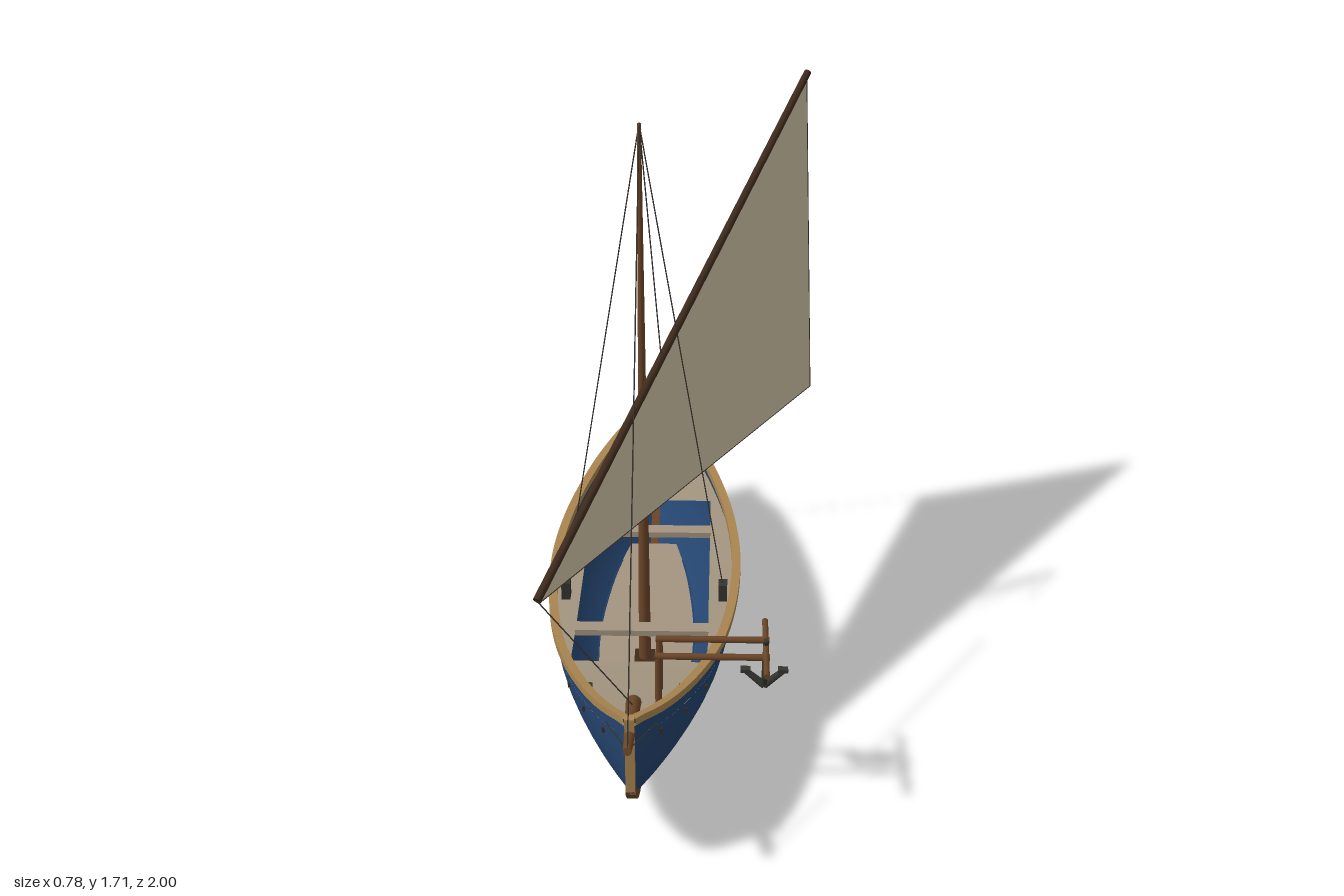
import * as THREE from 'three';
import { toCreasedNormals } from 'three/addons/utils/BufferGeometryUtils.js';

const paint = (name, color) => new THREE.MeshStandardMaterial({ name, color, side: THREE.DoubleSide });
const CX = -0.115; // centreline of the boat

// Hull lines along z: half width, sheer height, keel height
const Z = [-0.84, -0.75, -0.6, -0.4, -0.2, 0.03, 0.3, 0.5, 0.7, 0.82, 0.9];
const line = (values) => {
  const f = new THREE.CubicInterpolant(Z, values, 1);
  return (z) => f.evaluate(z)[0];
};
const beam = line([0.004, 0.08, 0.15, 0.212, 0.25, 0.265, 0.243, 0.2, 0.125, 0.062, 0.004]);
const sheer = line([0.42, 0.405, 0.388, 0.37, 0.362, 0.36, 0.366, 0.385, 0.42, 0.45, 0.475]);
const keelY = line([0.2, 0.125, 0.06, 0.03, 0.018, 0.012, 0.02, 0.04, 0.1, 0.175, 0.255]);
const fullness = (u) => Math.pow(1 - Math.pow(1 - u, 2.4), 0.8);
const halfWidth = (z, y) => {
  const u = THREE.MathUtils.clamp((y - keelY(z)) / (sheer(z) - keelY(z)), 0, 1);
  return beam(z) * fullness(u);
};
const steps = (a, b, n) => Array.from({ length: n + 1 }, (_, i) => a + ((b - a) * i) / n);

// Skin over rings of [x, y, z] points
function loft(rings, closed = false, crease = 0.6) {
  const m = rings[0].length, index = [];
  for (let i = 0; i < rings.length - 1; i++) {
    for (let j = 0; j < (closed ? m : m - 1); j++) {
      const a = i * m + j, b = i * m + ((j + 1) % m);
      index.push(a, b, a + m, b, b + m, a + m);
    }
  }
  const g = new THREE.BufferGeometry();
  g.setAttribute('position', new THREE.Float32BufferAttribute(rings.flat(2), 3));
  g.setIndex(index);
  return toCreasedNormals(g, crease);
}

export function createModel() {
  const blue = paint('hull blue', 0x24446e);
  const tan = paint('trim tan', 0xa98550);
  const deckMat = paint('deck beige', 0xa39580);
  const sailMat = paint('sail canvas', 0xcfc3a6);
  const wood = paint('brown wood', 0x6a4527);
  const darkWood = paint('dark spar', 0x3d2a1c);
  const ropeMat = paint('rope', 0x37332d);
  const iron = paint('iron', 0x33352f);

  const root = new THREE.Group();
  root.name = 'sailingBoat';
  const add = (name, geometry, material) => {
    const mesh = new THREE.Mesh(geometry, material);
    mesh.name = name;
    root.add(mesh);
    return mesh;
  };
  const box = (name, w, h, d, x, y, z, mat) => {
    const mesh = add(name, new THREE.BoxGeometry(w, h, d), mat);
    mesh.position.set(x, y, z);
    return mesh;
  };
  // Round bar from a to b
  const rod = (name, a, b, r0, r1, mat, sides = 10) => {
    const p = new THREE.Vector3(...a), q = new THREE.Vector3(...b);
    const mesh = add(name, new THREE.CylinderGeometry(r1, r0, p.distanceTo(q), sides), mat);
    mesh.position.copy(p).lerp(q, 0.5);
    mesh.quaternion.setFromUnitVectors(new THREE.Vector3(0, 1, 0), q.sub(p).normalize());
    return mesh;
  };
  const rope = (name, a, b) => rod(name, a, b, 0.0018, 0.0018, ropeMat, 5);

  // Hull shell
  const us = steps(0, 1, 14).map((t) => t * t);
  add('hull', loft(steps(-0.84, 0.9, 64).map((z) => {
    const k = keelY(z), s = sheer(z), w = beam(z);
    const side = (d) => us.map((u) => [CX + d * w * fullness(u), k + (s - k) * u, z]);
    return [...side(-1).reverse(), ...side(1).slice(1)];
  }), false, 1.2), blue);

  // Gunwales and bilge rails
  for (const d of [-1, 1]) {
    add('gunwale', loft(steps(-0.845, 0.905, 56).map((zz) => {
      const z = THREE.MathUtils.clamp(zz, -0.84, 0.9), s = sheer(z);
      const inner = CX + d * Math.max(0, beam(z) - 0.014), outer = CX + d * (beam(z) + 0.011);
      return [[inner, s - 0.014, zz], [outer, s - 0.014, zz], [outer, s + 0.007, zz], [inner, s + 0.007, zz]];
    }), true), tan);
    const railPath = steps(-0.4, 0.48, 16).map((z) =>
      new THREE.Vector3(CX + d * halfWidth(z, 0.09), 0.09, z));
    add('bilgeRail', new THREE.TubeGeometry(new THREE.CatmullRomCurve3(railPath), 32, 0.003, 5), blue);
    for (const z of [-0.22, 0.04, 0.3]) {
      box('bilgeStud', 0.016, 0.012, 0.022, CX + d * halfWidth(z, 0.075), 0.072, z, wood);
    }
    for (const z of [-0.72, -0.55, 0.55, 0.68, 0.8]) {
      const y = sheer(z) - 0.08;
      box('hullFitting', 0.01, 0.014, 0.008, CX + d * halfWidth(z, y), y, z, darkWood);
    }
  }

  // Keel and end posts
  add('keel', loft(steps(-0.84, 0.9, 56).map((z) => {
    const k = keelY(z), t = 0.013;
    const slope = (keelY(Math.min(z + 0.01, 0.9)) - keelY(Math.max(z - 0.01, -0.84))) / 0.02;
    const len = Math.hypot(1, slope), dy = -0.012 / len, dz = (0.012 * slope) / len;
    return [[CX - t, k - dy, z - dz], [CX - t, k + dy, z + dz], [CX + t, k + dy, z + dz], [CX + t, k - dy, z - dz]];
  }), true), wood);
  box('stemPost', 0.024, 0.225, 0.022, CX, 0.372, 0.903, tan);
  box('sternPost', 0.024, 0.225, 0.022, CX, 0.313, -0.843, tan);

  // Deck around an open well, with a floor below
  const deckY = (z) => sheer(z) - 0.055;
  const deckEdge = (z) => halfWidth(z, deckY(z));
  const strip = (name, z0, z1, left, right, y) => add(name, loft(steps(z0, z1, 18).map((z) =>
    [[CX + left(z), y(z), z], [CX + right(z), y(z), z]])), deckMat);
  strip('foreDeck', 0.46, 0.895, (z) => -deckEdge(z), deckEdge, deckY);
  strip('aftDeck', -0.835, -0.4, (z) => -deckEdge(z), deckEdge, deckY);
  strip('sideDeck', -0.4, 0.46, (z) => -deckEdge(z), () => -0.185, deckY);
  strip('sideDeck', -0.4, 0.46, () => 0.185, deckEdge, deckY);
  strip('floor', -0.5, 0.55, (z) => -halfWidth(z, 0.09), (z) => halfWidth(z, 0.09), () => 0.09);
  for (const z of [-0.23, 0.285]) box('thwart', 0.375, 0.018, 0.042, CX, 0.307, z, deckMat);

  // Spars
  const mastTop = [CX, 1.71, 0.083];
  rod('mast', [CX, 0.09, 0.145], mastTop, 0.018, 0.005, wood, 12);
  box('mastStep', 0.06, 0.025, 0.07, CX, 0.1, 0.145, darkWood);
  rod('bowsprit', [CX, 0.39, 0.72], [CX, 0.457, 0.998], 0.02, 0.011, wood, 12);
  const yardLow = [-0.342, 0.735, 0.777], yardHigh = [0.342, 1.615, -0.68];
  rod('yard', yardLow, yardHigh, 0.011, 0.011, darkWood);

  // Sail and its edge ropes
  const tack = [-0.338, 0.723, 0.77], peak = [0.34, 1.592, -0.678], clew = [0.39, 0.53, -0.782];
  const sail = new THREE.BufferGeometry();
  sail.setAttribute('position', new THREE.Float32BufferAttribute([...tack, ...clew, ...peak], 3));
  sail.computeVertexNormals();
  add('sail', sail, sailMat);
  rope('footRope', tack, clew);
  rope('leechRope', clew, peak);

  // Rigging
  const tip = [CX, 0.458, 0.995];
  rope('forestay', mastTop, tip);
  rope('halyard', mastTop, [-0.06, 1.1, 0.175]);
  rope('tackRope', yardLow, [CX, 0.42, 0.77]);
  rope('sheet', clew, [-0.01, 0.41, -0.71]);
  box('sheetBlock', 0.025, 0.03, 0.03, -0.02, 0.385, -0.7, iron);
  for (const d of [-1, 1]) {
    rope('shroud', mastTop, [CX + d * 0.225, 0.35, 0.125]);
    rope('bowspritStay', tip, [CX + d * 0.065, 0.4, 0.815]);
    box('shroudBlock', 0.025, 0.06, 0.035, CX + d * 0.225, 0.33, 0.125, iron);
    box('cleat', 0.025, 0.03, 0.035, CX + d * 0.125, 0.365, 0.645, iron);
  }

  // Rudder and tiller
  rod('rudderPost', [CX, 0.055, -0.866], [CX, 0.445, -0.866], 0.01, 0.01, wood);
  box('rudderBlade', 0.018, 0.11, 0.134, CX, 0.113, -0.933, wood);
  rod('tiller', [CX, 0.44, -0.866], [CX, 0.408, -0.595], 0.006, 0.005, darkWood, 8);
  for (const y of [0.08, 0.155, 0.225, 0.38]) box('rudderHinge', 0.026, 0.012, 0.03, CX, y, -0.853, iron);

  // Anchor davits
  for (const z of [0.605, 0.68]) {
    rod('davitPost', [-0.053, 0.33, z], [-0.053, 0.505, z], 0.009, 0.009, wood);
    rod('davitArm', [-0.062, 0.505, z], [0.23, 0.505, z], 0.009, 0.009, wood);
  }
  rod('davitBar', [0.22, 0.517, 0.535], [0.22, 0.517, 0.777], 0.008, 0.008, wood);

  // Anchor
  const crown = [0.22, 0.35, 0.588];
  rod('anchorShank', crown, [0.22, 0.54, 0.655], 0.008, 0.007, iron, 8);
  for (const d of [-1, 1]) {
    const end = [0.22 + d * 0.053, 0.395, 0.582];
    rod('anchorArm', crown, end, 0.011, 0.008, iron, 8);
    box('anchorFluke', 0.026, 0.01, 0.018, end[0] - d * 0.004, 0.396, 0.584, iron);
  }
  return root;
}
